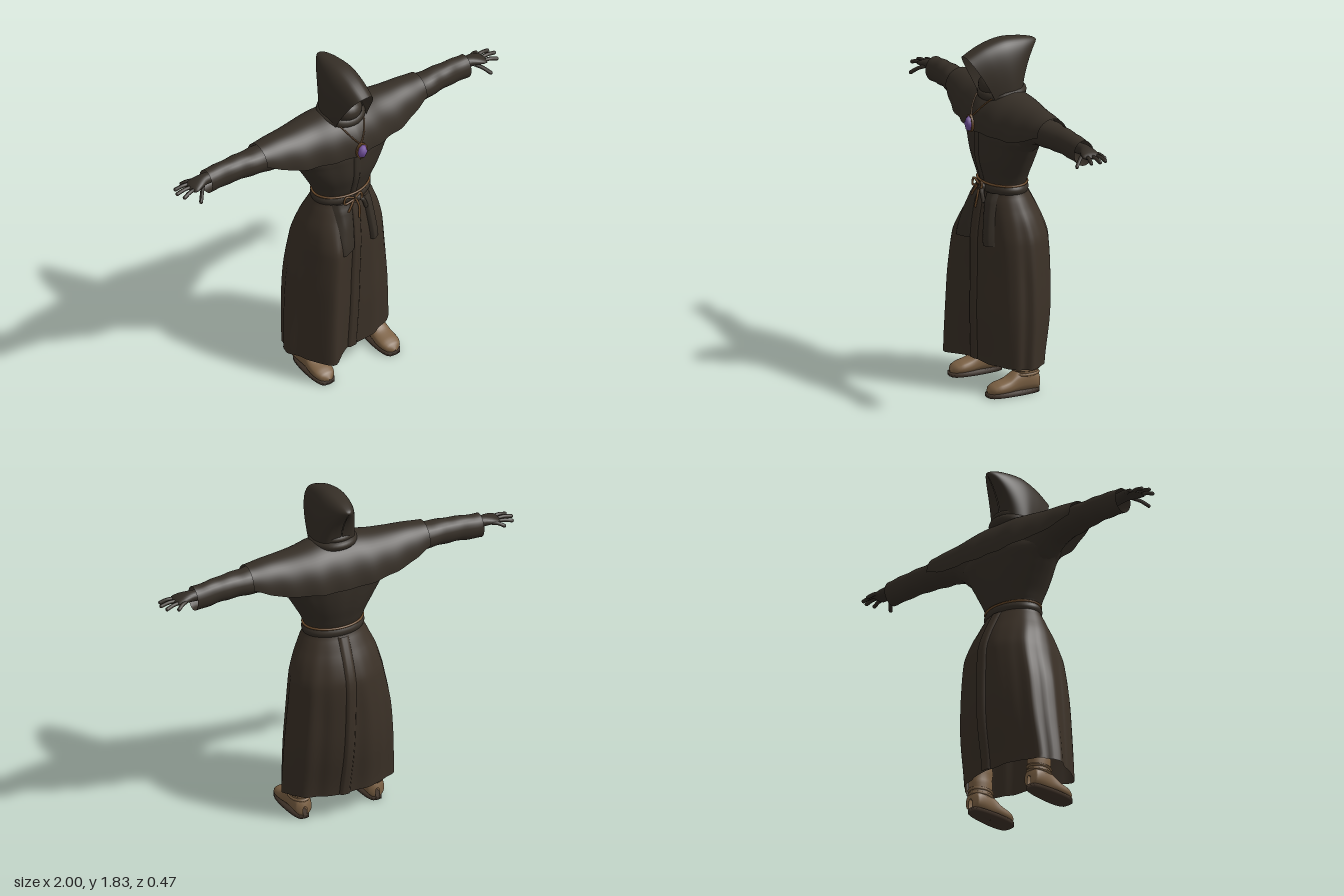
import * as THREE from 'three';

const { sin, cos, abs, sign, PI, min, max, exp, sqrt } = Math;
const mat = (name, color, side = THREE.DoubleSide) => {
  const m = new THREE.MeshStandardMaterial({ color, side });
  m.name = name;
  return m;
};

// Smoothly interpolates a table of rows by its first column.
function at(rows, v) {
  let i = 0;
  while (i < rows.length - 2 && v > rows[i + 1][0]) i++;
  const f = THREE.MathUtils.clamp((v - rows[i][0]) / (rows[i + 1][0] - rows[i][0]), 0, 1);
  const r = k => rows[min(max(k, 0), rows.length - 1)];
  return rows[i].map((_, c) => {
    const p0 = r(i - 1)[c], p1 = r(i)[c], p2 = r(i + 1)[c], p3 = r(i + 2)[c];
    const a = (p2 - p0) / 2, b = (p3 - p1) / 2;
    return p1 + f * (a + f * (3 * (p2 - p1) - 2 * a - b + f * (2 * (p1 - p2) + a + b)));
  });
}

// Surface over a grid, point(u, v) with u around and v along; closed joins u.
function surface(nu, nv, closed, point) {
  const pos = [], idx = [], w = closed ? nu : nu + 1;
  for (let i = 0; i <= nv; i++) for (let j = 0; j < w; j++) pos.push(...point(j / nu, i / nv));
  for (let i = 0; i < nv; i++) for (let j = 0; j < nu; j++) {
    const a = i * w + j, b = i * w + (j + 1) % w;
    idx.push(a, a + w, b, b, a + w, b + w);
  }
  const g = new THREE.BufferGeometry();
  g.setAttribute('position', new THREE.Float32BufferAttribute(pos, 3));
  g.setIndex(idx);
  g.computeVertexNormals();
  return g;
}

function mirrored(g) {
  const m = g.clone().scale(-1, 1, 1), id = m.index.array;
  for (let i = 0; i < id.length; i += 3) [id[i], id[i + 1]] = [id[i + 1], id[i]];
  m.computeVertexNormals();
  return m;
}

const tube = (pts, r, n = 16) =>
  new THREE.TubeGeometry(new THREE.CatmullRomCurve3(pts.map(p => new THREE.Vector3(...p))), n, r, 8);

// Robe: height, centre x, half width, front z, back z, flare of the right front fold
const ROBE = [
  [0.14, -0.02, 0.31, 0.14, -0.18, 0.12], [0.4, -0.013, 0.298, 0.15, -0.22, 0.11],
  [0.6, -0.01, 0.28, 0.15, -0.23, 0.105], [0.8, 0, 0.25, 0.15, -0.225, 0.09],
  [0.9, 0, 0.222, 0.14, -0.19, 0.05], [1.0, 0, 0.18, 0.125, -0.14, 0.01],
  [1.06, 0, 0.155, 0.105, -0.11, 0], [1.1, 0, 0.165, 0.115, -0.12, 0],
  [1.2, 0, 0.215, 0.14, -0.145, 0], [1.3, 0, 0.27, 0.145, -0.16, 0],
  [1.36, 0, 0.31, 0.14, -0.16, 0], [1.45, 0, 0.2, 0.1, -0.13, 0], [1.52, 0, 0.1, 0.06, -0.08, 0]];

function robePoint(y, a, off = 0) {
  const [, cx, hw, zf, zb, flare] = at(ROBE, y);
  const amp = 0.022 * min(1, abs(y - 1.06) * 2.2) * (y > 1.06 ? 0.7 : 1);
  const k = 1 + amp * cos(10 * a + 0.6) + amp * 0.5 * cos(17 * a);
  const x = cx + (hw * k + off) * cos(a);
  let z = (zf + zb) / 2 + ((zf - zb) / 2 * k + off) * sin(a);
  if (sin(a) > 0) z += flare * exp(-(((x + 0.65 * hw) / 0.08) ** 2)) * min(1, 3 * sin(a));
  return [x, y, z];
}

// Cloth strip lying on the robe's front (dir 1) or back (dir -1)
function strip(xTop, xBottom, width, y0, y1, off, dir = 1) {
  return surface(6, 20, false, (u, v) => {
    const y = y0 + (y1 - y0) * v;
    const x = xBottom + (xTop - xBottom) * v + (0.5 - u) * width * dir;
    const [, cx, hw] = at(ROBE, y);
    const a = dir * Math.acos(THREE.MathUtils.clamp((x - cx) / hw, -1, 1));
    const edge = u === 0 || u === 1 ? 0 : off;
    return [x, y, robePoint(y, a)[2] + dir * edge];
  });
}

// Shoulder cape: distance from the middle, top y, front z, back z, front hem y, back hem y
const CAPE = [
  [0, 1.57, 0.175, -0.185, 1.36, 1.34], [0.1, 1.565, 0.16, -0.188, 1.36, 1.34],
  [0.2, 1.55, 0.135, -0.18, 1.36, 1.35], [0.3, 1.54, 0.115, -0.16, 1.365, 1.36],
  [0.4, 1.535, 0.09, -0.14, 1.395, 1.385], [0.5, 1.525, 0.06, -0.115, 1.435, 1.425]];

function capeZ(x, y) {
  const [, top, zf, zb, hem] = at(CAPE, abs(x));
  const s = THREE.MathUtils.clamp((y - hem) / (top - hem), 0, 1);
  return (zf + zb) / 2 + (zf - zb) / 2 * sqrt(1 - s * s);
}

// Sleeve and hand: x, centre y, half height, centre z, half depth
const SLEEVE = [
  [0.1, 1.36, 0.15, -0.01, 0.11], [0.25, 1.4, 0.122, -0.015, 0.1], [0.34, 1.432, 0.085, -0.02, 0.085],
  [0.5, 1.44, 0.07, -0.025, 0.075], [0.65, 1.44, 0.066, -0.035, 0.06], [0.75, 1.432, 0.066, -0.042, 0.055],
  [0.81, 1.428, 0.065, -0.045, 0.055]];
const PALM = [
  [0.74, 1.44, 0.03, -0.045, 0.03], [0.82, 1.447, 0.028, -0.045, 0.033],
  [0.87, 1.445, 0.022, -0.04, 0.045], [0.91, 1.437, 0.014, -0.036, 0.045], [0.925, 1.435, 0.002, -0.036, 0.01]];
const limb = (rows, n, wrinkle) => surface(24, n, true, (u, v) => {
  const x0 = rows[0][0], x = x0 + (rows.at(-1)[0] - x0) * v, a = u * 2 * PI;
  const [, cy, hy, cz, hz] = at(rows, x), k = 1 + wrinkle * sin(x * 55 + 2 * cos(a));
  return [x, cy + hy * k * sin(a), cz + hz * k * cos(a)];
});

// Hood arches from rim to back: step, side z, top z, top y, half width
const HOOD = [
  [0, 0.09, 0.215, 1.75, 0.095], [1, 0.04, 0.12, 1.797, 0.107], [2, -0.01, 0.01, 1.825, 0.112],
  [3, -0.05, -0.1, 1.82, 0.1], [4, -0.08, -0.17, 1.805, 0.075], [5, -0.09, -0.192, 1.79, 0.04],
  [6, -0.095, -0.185, 1.775, 0.002]];

// Boot foot: z, half width, top y
const FOOT = [
  [-0.1, 0.012, 0.07], [-0.09, 0.042, 0.11], [-0.04, 0.05, 0.14], [0.03, 0.049, 0.125],
  [0.08, 0.055, 0.09], [0.14, 0.055, 0.072], [0.175, 0.038, 0.055], [0.19, 0.004, 0.03]];

export function createModel() {
  const group = new THREE.Group();
  const upperCloth = mat('dark cloth', 0x362f27), skirtCloth = mat('brown cloth', 0x3b3127);
  const shade = mat('hood shade', 0x2a251f), rope = mat('rope', 0x6a4a2b), leather = mat('boot leather', 0x7d6245);
  const sole = mat('boot sole', 0x41342a), skin = mat('glove', 0x332d26), gemColor = mat('purple gem', 0x7350a0);
  const add = (name, g, m, parent = group) => {
    const mesh = new THREE.Mesh(g, m);
    mesh.name = name;
    parent.add(mesh);
    return mesh;
  };
  const both = (name, g, m) => { add(name + 'Left', g, m); add(name + 'Right', mirrored(g), m); };

  // Robe body, belt and rope
  const robe = (y0, y1, n, off = 0) =>
    surface(96, n, true, (u, v) => robePoint(y0 + (y1 - y0) * v, u * 2 * PI, off));
  add('skirt', robe(0.14, 1.06, 40), skirtCloth);
  add('torso', robe(1.06, 1.52, 24), upperCloth);
  add('belt', surface(64, 8, true, (u, v) =>
    robePoint(1.03 + 0.055 * v, u * 2 * PI, -0.004 + 0.017 * sin(PI * v))), upperCloth);
  const loop = [];
  for (let i = 0; i <= 40; i++) loop.push(robePoint(1.08, i / 40 * 2 * PI, 0.006));
  add('beltRope', tube(loop, 0.006, 120), rope);

  // Overlaps and hanging cloth ends
  add('frontOverlap', strip(0, -0.03, 0.06, 0.141, 1.03, 0.012), skirtCloth);
  add('chestOverlap', strip(0, 0, 0.04, 1.09, 1.37, 0.006), upperCloth);
  add('backOverlap', strip(0, 0.02, 0.06, 0.141, 1.03, 0.01, -1), skirtCloth);
  add('wideSash', strip(-0.065, -0.075, 0.1, 0.78, 1.04, 0.016), upperCloth);
  add('narrowSash', strip(0.085, 0.115, 0.06, 0.77, 1.04, 0.018), upperCloth);

  // Knot with loops and tails
  const knot = new THREE.Group();
  knot.name = 'beltKnot';
  group.add(knot);
  [[[-0.01, 1.065, 0.125], [-0.06, 1.085, 0.128], [-0.07, 1.05, 0.13], [-0.01, 1.055, 0.13]],
    [[0, 1.065, 0.13], [0.03, 1.085, 0.13], [0.035, 1.055, 0.135], [0, 1.055, 0.13]],
    [[-0.01, 1.06, 0.13], [-0.035, 1.03, 0.14], [-0.055, 1.0, 0.143]],
    [[0, 1.06, 0.13], [0.012, 1.01, 0.145], [0.005, 0.95, 0.155]]]
    .forEach(p => add('knotRope', tube(p, 0.006), rope, knot));
  add('knotCloth', new THREE.SphereGeometry(0.022, 16, 12).translate(0.015, 1.055, 0.12), upperCloth, knot);
  add('knotTail', tube([[0.015, 1.055, 0.12], [0.04, 1.04, 0.135], [0.062, 0.985, 0.135]], 0.011), upperCloth, knot);

  // Sleeves and hands
  both('sleeve', limb(SLEEVE, 48, 0.025), upperCloth);
  both('palm', limb(PALM, 12, 0), skin);
  [['littleFinger', [0.865, 1.44, -0.075], [0.92, 1.425, -0.104]], ['ringFinger', [0.89, 1.437, -0.065], [0.975, 1.428, -0.08]],
    ['middleFinger', [0.9, 1.437, -0.04], [0.99, 1.43, -0.042]], ['indexFinger', [0.9, 1.437, -0.015], [0.975, 1.426, 0]],
    ['thumb', [0.85, 1.435, -0.015], [0.905, 1.395, 0.045]]].forEach(([name, a, b]) => {
    const mid = [(a[0] + b[0]) / 2, (a[1] + b[1]) / 2 + 0.006, (a[2] + b[2]) / 2];
    both(name, tube([a, mid, b], 0.01, 8), skin);
    both(name + 'Tip', new THREE.SphereGeometry(0.01, 8, 6).translate(...b), skin);
  });

  // Shoulder cape, arched over the shoulders from front hem to back hem
  add('shoulderCape', surface(32, 60, false, (u, v) => {
    const x = v - 0.5, a = u * PI, [, top, zf, zb, hf, hb] = at(CAPE, abs(x));
    const hem = (hf + hb) / 2 + (hf - hb) / 2 * cos(a);
    const fold = 1 + 0.025 * cos(x * 42) * (1 - sin(a));
    return [x, hem + (top - hem) * sin(a), (zf + zb) / 2 + (zf - zb) / 2 * cos(a) * fold];
  }), upperCloth);

  // Hood, face in shade, scarf and collar folds
  add('hood', surface(40, 36, false, (u, v) => {
    const [, z0, z1, top, hw] = at(HOOD, v * 6), a = PI * u, s = sin(a);
    return [sign(cos(a)) * abs(cos(a)) ** 0.75 * hw, 1.53 + (top - 1.53) * s ** 0.9, z0 + (z1 - z0) * s ** (1 + v)];
  }), upperCloth);
  add('face', new THREE.SphereGeometry(1, 24, 18).scale(0.078, 0.115, 0.085).translate(0, 1.66, 0.02), shade);
  add('scarf', new THREE.SphereGeometry(1, 24, 16).scale(0.088, 0.065, 0.09).translate(0, 1.585, 0.035), upperCloth);
  [[0.1, 0.026, 1.545], [0.088, 0.022, 1.58]].forEach(([r, t, y]) =>
    add('collarFold', new THREE.TorusGeometry(r, t, 12, 40).rotateX(PI / 2 + 0.1).translate(0, y, 0), upperCloth));

  // Pendant on its chain
  const chain = [];
  for (let i = 0; i <= 8; i++) {
    const f = i / 8, x = 0.002 + 0.083 * f, y = 1.435 + 0.115 * f ** 1.2;
    chain.push([x, y, max(capeZ(x, y) + 0.008, 0.06)]);
  }
  both('chain', tube(chain, 0.004, 24), rope);
  add('pendantFrame', new THREE.CylinderGeometry(1, 1, 0.012, 12).rotateX(PI / 2)
    .scale(0.035, 0.047, 1).translate(0, 1.396, 0.181), rope);
  const gem = new THREE.OctahedronGeometry(1, 1).scale(0.029, 0.042, 0.026);
  add('pendantGem', gem.translate(0, 1.396, 0.186), gemColor);

  // Boots
  const bx = 0.205;
  both('bootFoot', surface(24, 28, true, (u, v) => {
    const z = -0.1 + 0.29 * v, a = u * 2 * PI, [, hw, top] = at(FOOT, z);
    const hy = (top - 0.012) / 2;
    return [bx + hw * sin(a), 0.012 + hy + hy * sign(cos(a)) * abs(cos(a)) ** 0.8, z];
  }), leather);
  both('bootShaft', surface(24, 12, true, (u, v) => {
    const a = u * 2 * PI, k = 1 + 0.03 * sin(v * 22) + 0.12 * v;
    return [bx + 0.049 * k * cos(a), 0.08 + 0.24 * v, -0.028 + 0.066 * k * sin(a)];
  }), leather);
  [0.105, 0.13].forEach(y => both('bootStrap', new THREE.TorusGeometry(1, 0.11, 8, 28)
    .rotateX(PI / 2).scale(0.051, 0.07, 0.069).translate(bx, y, -0.026), leather));
  both('bootSole', surface(24, 3, true, (u, v) => {
    const a = u * 2 * PI, z = 0.045 + 0.146 * cos(a), k = [0.01, 1, 1, 0.01][Math.round(v * 3)];
    const hw = sign(sin(a)) * abs(sin(a)) ** 0.5 * (0.05 + 0.05 * z);
    return [bx - hw * k, v < 0.5 ? 0 : 0.022, 0.045 + (z - 0.045) * k];
  }), sole);
  return group;
}
